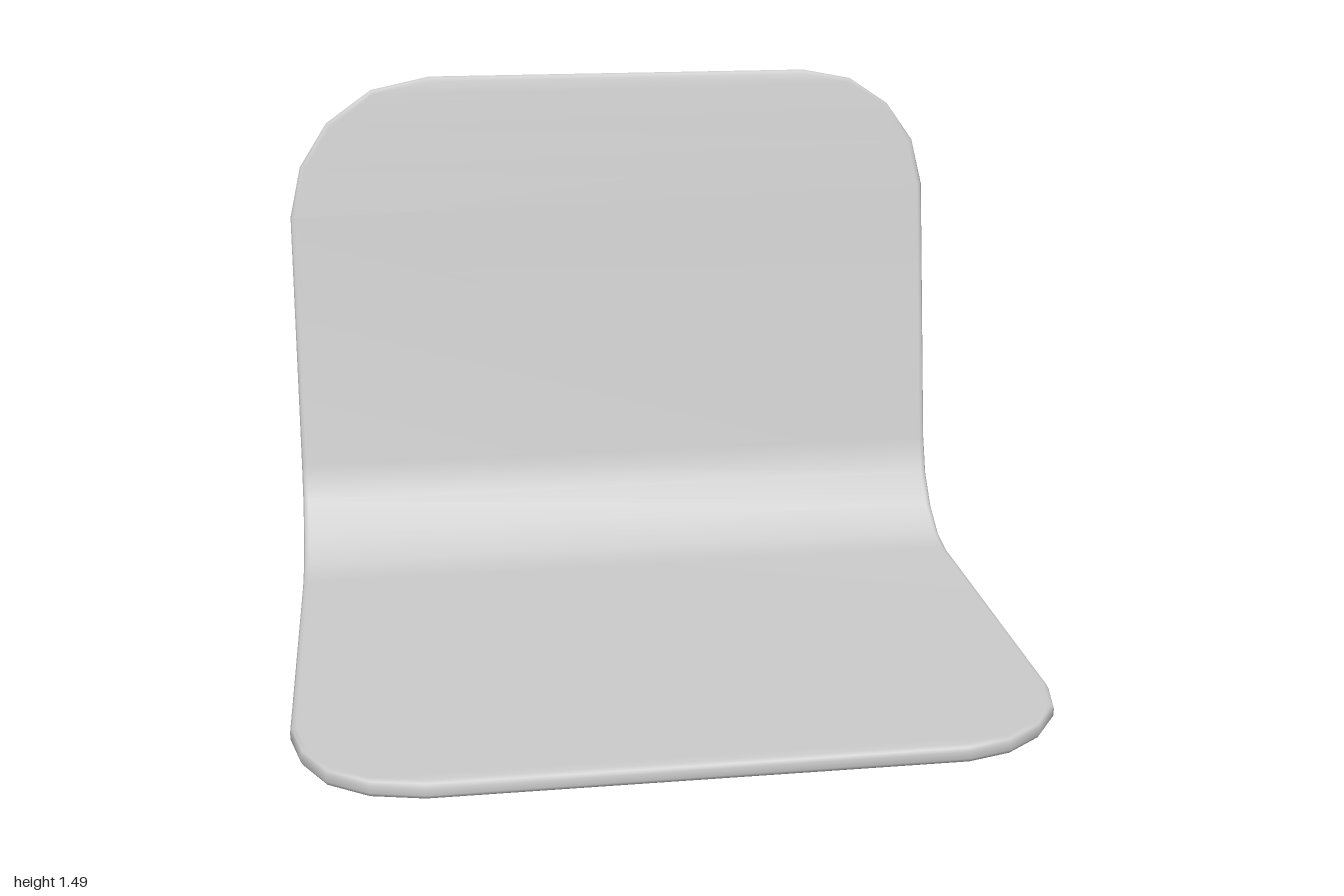
import * as THREE from 'three';

// A point on the sheet's middle surface: position, tilt in degrees (0 seat, 79 back)
const point = (x, y, z, tilt) => {
  const a = THREE.MathUtils.degToRad(tilt);
  return {
    pos: new THREE.Vector3(x, y, z),
    normal: new THREE.Vector3(0, Math.cos(a), Math.sin(a)),
    half: 0.0245 - 0.0055 * tilt / 79.2,
  };
};
const seatPoint = ([x, z]) => point(x, 0.026 + (0.91 - z) * 0.009, z, 0.4);
const backPoint = ([x, y]) => point(x, y, -0.672 - (y - 0.325) * 0.19, 79.2);

// Rounded corners as [x, z] on the seat and [x, y] on the back
const seatRight = [[0.69, 0.91], [0.805, 0.88], [0.905, 0.81], [0.975, 0.715], [1, 0.60]];
const seatLeft = [[-0.665, 0.91], [-0.80, 0.88], [-0.905, 0.81], [-0.97, 0.70], [-1, 0.58]];
const backRight = [[1, 1.13], [0.97, 1.27], [0.89, 1.385], [0.77, 1.465], [0.62, 1.494]];
const backLeft = [[-1, 1.08], [-0.965, 1.23], [-0.88, 1.36], [-0.74, 1.457], [-0.56, 1.494]];
// Bend between seat and back: y, z, tilt
const bend = [
  [0.037, -0.35, 6], [0.058, -0.455, 22], [0.12, -0.555, 41], [0.21, -0.63, 60], [0.325, -0.672, 75],
];

// One side of the outline, from front edge to top edge
const side = (seat, back, x) => [
  ...seat.map(seatPoint),
  ...bend.map(([y, z, tilt]) => point(x, y, z, tilt)),
  ...back.map(backPoint),
];

// Rounded rim: inset from the outline, height as a share of half the thickness
const rim = [[0.016, -1], [0.005, -0.8], [0, -0.4], [0, 0.4], [0.005, 0.8], [0.016, 1]];

function shellGeometry() {
  const right = side(seatRight, backRight, 1);
  const left = side(seatLeft, backLeft, -1);
  const loop = [...right, ...left.reverse()];
  const n = loop.length;
  const positions = [];
  const index = [];

  for (const [inset, height] of rim) {
    loop.forEach((p, i) => {
      const before = loop[(i + n - 1) % n].pos.clone().sub(p.pos).normalize();
      const after = loop[(i + 1) % n].pos.clone().sub(p.pos).normalize();
      const outward = after.sub(before).cross(p.normal).normalize();
      const v = p.pos.clone().addScaledVector(outward, -inset).addScaledVector(p.normal, p.half * height);
      positions.push(v.x, v.y, v.z);
    });
  }
  const quad = (a, b, c, d) => index.push(a, b, c, a, c, d);

  // Rim
  for (let k = 0; k < rim.length - 1; k++) {
    for (let i = 0; i < n; i++) {
      const j = (i + 1) % n;
      quad(k * n + i, k * n + j, (k + 1) * n + j, (k + 1) * n + i);
    }
  }
  // Upper and lower faces, strips running from right to left
  const top = (rim.length - 1) * n;
  for (let i = 0; i < n / 2 - 1; i++) {
    const r0 = i, r1 = i + 1, l1 = n - 2 - i, l0 = n - 1 - i;
    quad(top + r0, top + r1, top + l1, top + l0);
    quad(r0, l0, l1, r1);
  }

  const geometry = new THREE.BufferGeometry();
  geometry.setAttribute('position', new THREE.Float32BufferAttribute(positions, 3));
  geometry.setIndex(index);
  geometry.computeVertexNormals();
  return geometry;
}

export function createModel() {
  const group = new THREE.Group();
  group.name = 'seat';
  const shell = new THREE.Mesh(shellGeometry(), new THREE.MeshStandardMaterial({ color: 0xcccccc }));
  shell.name = 'seatShell';
  group.add(shell);
  return group;
}
